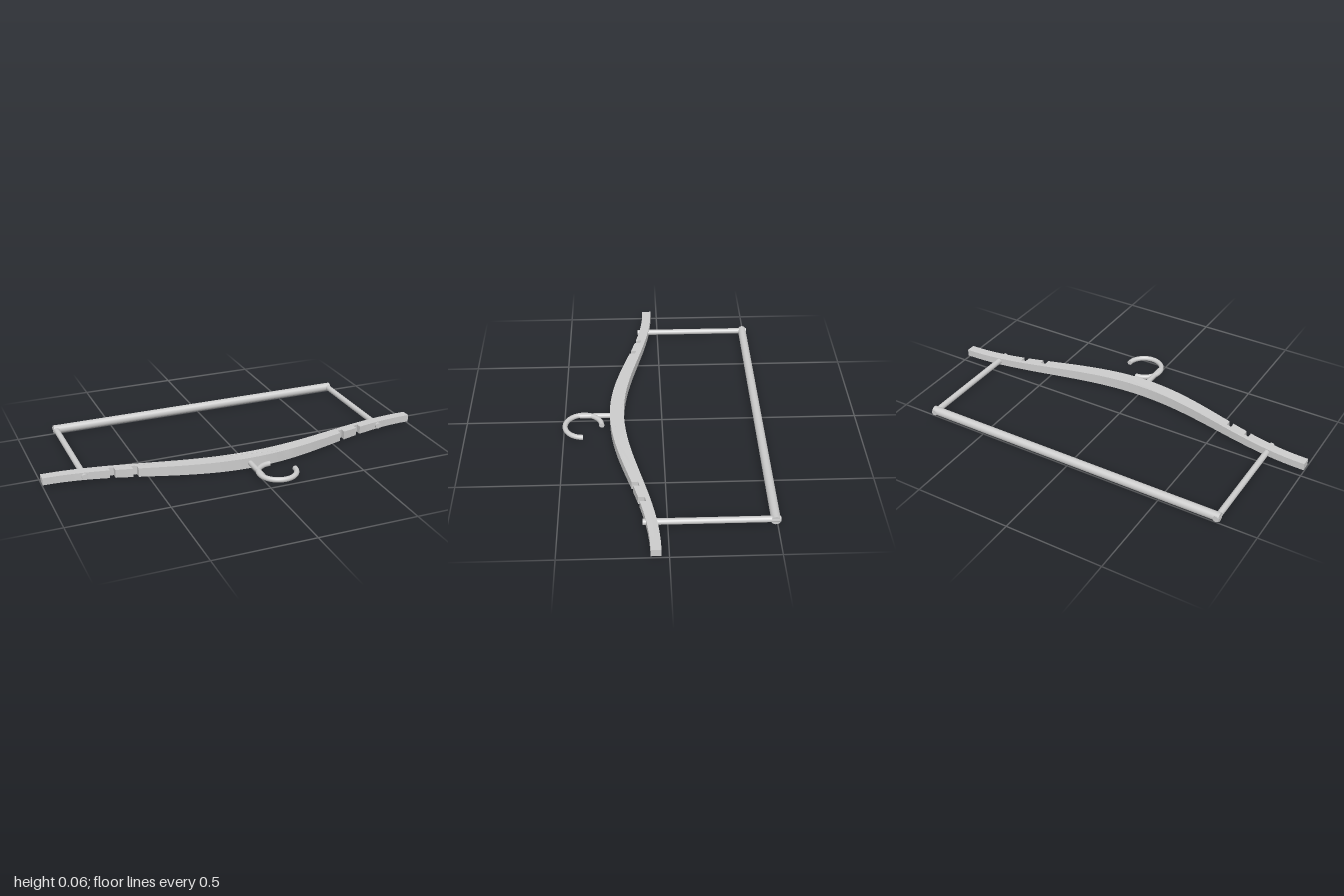
import * as THREE from 'three';
import { toCreasedNormals } from 'three/addons/utils/BufferGeometryUtils.js';

const MID = 0.028; // height of the centre plane
const material = new THREE.MeshStandardMaterial({ color: 0xcccccc });

// 1 at the middle of the arm, 0 at its tips
const swell = (x) => (1 + Math.cos(Math.PI * x)) / 2;
const backEdge = (x) => 0.035 + 0.16 * swell(x);
const frontEdge = (x) => backEdge(x) + 0.048 + 0.024 * swell(x);
const halfHeight = (x) => 0.0185 + 0.0095 * swell(x);

function add(parent, name, geometry, x = 0, y = 0, z = 0) {
  const mesh = new THREE.Mesh(geometry, material);
  mesh.name = name;
  mesh.position.set(x, y, z);
  parent.add(mesh);
  return mesh;
}

// Curved arm outline with two strap notches on each side of the front edge
function armGeometry() {
  const notches = [-0.668, -0.56, 0.56, 0.668];
  const half = 0.013, deep = 0.03, steps = 40;
  const points = [];
  for (let i = 0; i <= steps; i++) {
    const x = -1 + (2 * i) / steps;
    points.push([x, backEdge(x)]);
  }
  const front = [];
  for (let i = 0; i <= steps; i++) {
    const x = -1 + (2 * i) / steps;
    if (notches.every((n) => Math.abs(x - n) > half + 0.003)) front.push([x, frontEdge(x)]);
  }
  for (const n of notches) {
    const a = n - half, b = n + half;
    const cut = [[a, frontEdge(a)], [a, frontEdge(a) - deep], [b, frontEdge(b) - deep], [b, frontEdge(b)]];
    const at = front.findIndex((p) => p[0] > n);
    front.splice(at, 0, ...cut);
  }
  points.push(...front.reverse());

  const shape = new THREE.Shape(points.map(([x, z]) => new THREE.Vector2(x, -z)));
  const geometry = new THREE.ExtrudeGeometry(shape, { depth: 1, bevelEnabled: false });
  geometry.rotateX(-Math.PI / 2);
  // Taper the thickness towards the tips
  const pos = geometry.attributes.position;
  for (let i = 0; i < pos.count; i++) {
    pos.setY(i, MID + (2 * pos.getY(i) - 1) * halfHeight(pos.getX(i)));
  }
  return toCreasedNormals(geometry, 0.5);
}

export function createModel() {
  const model = new THREE.Group();
  model.name = 'clothesHanger';

  add(model, 'arm', armGeometry());

  // Trouser bar with its two side rods passing through the arm
  const bar = new THREE.CylinderGeometry(0.022, 0.022, 1.626, 32).rotateZ(Math.PI / 2);
  add(model, 'trouserBar', bar, 0, MID + 0.001, -0.49);
  const rod = new THREE.CylinderGeometry(0.015, 0.015, 0.628, 24).rotateX(Math.PI / 2);
  for (const side of [-1, 1]) {
    add(model, side > 0 ? 'leftRod' : 'rightRod', rod, side * 0.8, MID + 0.001, -0.199);
  }

  // Hook: straight stem and three quarters of a ring
  const hook = new THREE.Group();
  hook.name = 'hook';
  hook.position.y = MID + 0.001;
  model.add(hook);
  const stem = new THREE.CylinderGeometry(0.013, 0.013, 0.182, 20).rotateX(Math.PI / 2);
  add(hook, 'hookStem', stem, -0.006, 0, 0.331);

  const R = 0.093, r = 0.013, cx = 0.079, cz = 0.401;
  const ring = new THREE.TorusGeometry(R, r, 16, 48, Math.PI * 1.5).rotateX(Math.PI / 2);
  add(hook, 'hookRing', ring, cx, 0, cz);
  add(hook, 'hookTip', new THREE.CircleGeometry(r, 16).rotateY(Math.PI), cx + R, 0, cz);
  add(hook, 'hookEnd', new THREE.CircleGeometry(r, 16).rotateY(Math.PI / 2), cx, 0, cz - R);

  return model;
}
